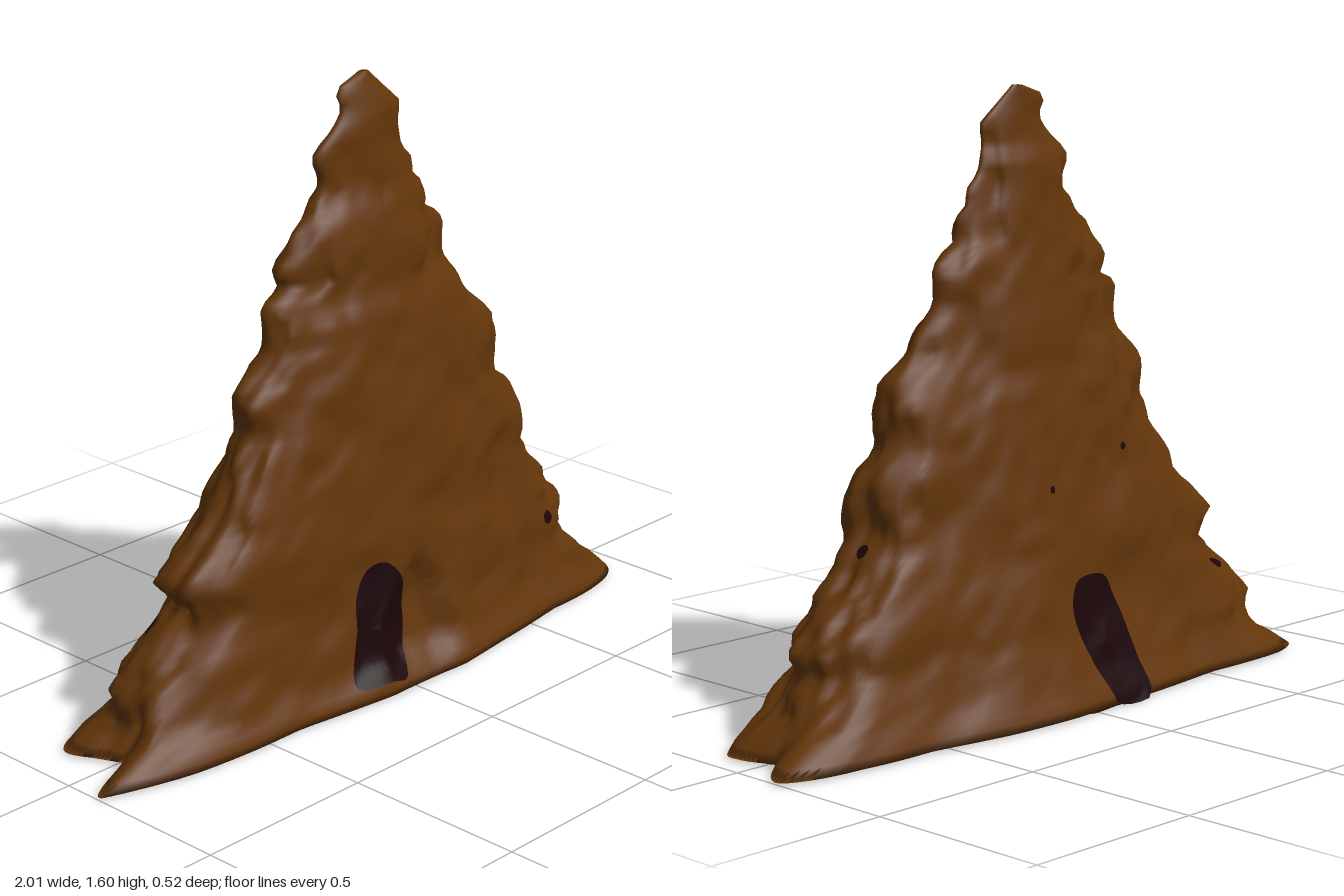
import * as THREE from 'three';

const SEGMENTS = 140, LEVELS = 70, HEIGHT = 1.6, BASE = 0.008;

// Silhouette profiles as [height, offset]
const LEFT = [[0, -1.01], [0.02, -0.98], [0.08, -0.84], [0.2, -0.77], [0.35, -0.62], [0.42, -0.67], [0.6, -0.5], [0.75, -0.42],
  [0.85, -0.42], [0.95, -0.31], [1.06, -0.31], [1.1, -0.24], [1.15, -0.26], [1.3, -0.15], [1.33, -0.11], [1.45, -0.1],
  [1.52, -0.03], [1.57, -0.06], [1.6, 0.04]];
const RIGHT = [[0, 1.01], [0.02, 0.99], [0.1, 0.86], [0.2, 0.77], [0.27, 0.79], [0.4, 0.66], [0.5, 0.59], [0.65, 0.57],
  [0.72, 0.5], [0.82, 0.5], [0.95, 0.4], [1.07, 0.32], [1.15, 0.32], [1.22, 0.24], [1.28, 0.25], [1.38, 0.19],
  [1.5, 0.17], [1.57, 0.1], [1.6, 0.07]];
const FRONT = [[0, 0.25], [0.03, 0.26], [0.1, 0.225], [0.2, 0.205], [0.5, 0.175], [0.7, 0.155], [0.85, 0.13], [1, 0.115],
  [1.06, 0.09], [1.25, 0.08], [1.31, 0.05], [1.5, 0.035], [1.57, 0.015], [1.6, 0]];
const BACK = [[0, -0.265], [0.03, -0.262], [0.1, -0.23], [0.2, -0.2], [0.4, -0.175], [0.6, -0.14], [0.75, -0.125],
  [0.9, -0.1], [1, -0.09], [1.2, -0.07], [1.42, -0.045], [1.45, -0.028], [1.6, -0.022]];

// Ragged lobes of the two base ends: [z fraction, reach]
const RIGHT_LOBES = [[-0.8, 1.05], [-0.5, 1.06], [-0.1, 0.9], [0.35, 0.95], [0.7, 1]];
const LEFT_LOBES = [[-0.8, 1], [-0.6, 0.95], [-0.25, 0.87], [0.1, 0.83], [0.5, 1.065], [0.8, 0.97]];

// Thickness of the broad faces along their length: [x fraction, scale]
const FRONT_SPREAD = [[-0.8, 0.92], [-0.4, 0.84], [-0.1, 0.97], [0.17, 1], [0.35, 0.92], [0.6, 0.84], [0.85, 0.93]];
const BACK_SPREAD = [[-0.8, 0.93], [-0.5, 0.81], [-0.2, 0.91], [0.1, 1.01], [0.3, 1], [0.55, 0.89], [0.77, 0.98], [0.94, 1.15]];

function sample(table, t) {
  if (t <= table[0][0]) return table[0][1];
  for (let i = 1; i < table.length; i++) {
    const [a, va] = table[i - 1], [b, vb] = table[i];
    if (t <= b) return va + (vb - va) * (t - a) / (b - a);
  }
  return table[table.length - 1][1];
}

// Smooth seeded value noise in the range -1..1
function hash(x, y, z) {
  const s = Math.sin(x * 127.1 + y * 311.7 + z * 74.7) * 43758.5453;
  return (s - Math.floor(s)) * 2 - 1;
}
function noise(x, y, z) {
  const f = [x, y, z].map(Math.floor);
  const w = [x - f[0], y - f[1], z - f[2]].map(t => t * t * (3 - 2 * t));
  let sum = 0;
  for (let k = 0; k < 8; k++) {
    const b = [k & 1, (k >> 1) & 1, k >> 2];
    sum += hash(f[0] + b[0], f[1] + b[1], f[2] + b[2])
      * b.reduce((p, on, i) => p * (on ? w[i] : 1 - w[i]), 1);
  }
  return sum;
}

// One point of the mound's skin
function skin(angle, y) {
  const c = Math.cos(angle), s = Math.sin(angle);
  const n = Math.max(1.9, 3 - y * 0.9);
  const r = 1 / Math.pow(Math.abs(c) ** n + Math.abs(s) ** n, 1 / n);
  const l = sample(LEFT, y), rt = sample(RIGHT, y), f = sample(FRONT, y), b = sample(BACK, y);
  const spread = sample(s > 0 ? FRONT_SPREAD : BACK_SPREAD, c * r);
  let x = (l + rt) / 2 + (rt - l) / 2 * c * r;
  let z = (f + b) / 2 + (f - b) / 2 * s * r * (1 + (spread - 1) * Math.max(0, 1 - y / 1.3));
  // ragged base ends
  const fade = Math.max(0, 1 - y / 0.16) * Math.min(1, Math.abs(c * r) ** 3);
  x *= 1 + (sample(c > 0 ? RIGHT_LOBES : LEFT_LOBES, s * r) - 1) * fade;
  // lumpy earth, calmer on the broad faces
  const taper = Math.min(1, y / 0.1) * Math.min(1, (HEIGHT - y) / 0.2);
  const lump = noise(x * 7, y * 7, z * 14 + 5) + 0.7 * noise(x * 18, y * 17, z * 30 + 9);
  const edge = Math.abs(c * r);
  x += Math.sign(c) * lump * 0.03 * edge * taper;
  z += Math.sign(s) * lump * (0.006 + 0.012 * edge) * Math.abs(s) * taper;
  // arched hollow beside the front opening, steeper on its far side
  if (s > 0) {
    const d = Math.hypot((x - 0.04) / (x > 0.04 ? 0.12 : 0.15), (y - 0.09) / 0.27);
    z -= 0.045 * THREE.MathUtils.smoothstep(1 - d, 0, x > 0.04 ? 0.35 : 0.6) * Math.min(1, y / 0.09);
  }
  return [x, y, z];
}

function skinGeometry(pos, index) {
  const g = new THREE.BufferGeometry();
  g.setAttribute('position', new THREE.Float32BufferAttribute(pos, 3));
  g.setIndex(index);
  g.computeVertexNormals();
  return g;
}

// Quads between consecutive closed rings of points
function ringFaces(rings, around) {
  const index = [];
  for (let i = 0; i < rings; i++) {
    for (let j = 0; j < around; j++) {
      const a = i * around + j, b = i * around + (j + 1) % around;
      index.push(a, a + around, b, b, a + around, b + around);
    }
  }
  return index;
}

function moundGeometry() {
  const pos = [], index = ringFaces(LEVELS, SEGMENTS), top = LEVELS * SEGMENTS;
  for (let i = 0; i <= LEVELS; i++) {
    const y = BASE + i / LEVELS * (HEIGHT - BASE);
    for (let j = 0; j < SEGMENTS; j++) pos.push(...skin(j / SEGMENTS * Math.PI * 2, y));
  }
  // close the underside and the peak
  const bottom = pos.length / 3;
  pos.push(0, BASE, 0, 0.055, HEIGHT, -0.01);
  for (let j = 0; j < SEGMENTS; j++) {
    const k = (j + 1) % SEGMENTS;
    index.push(bottom, j, k, bottom + 1, top + k, top + j);
  }
  return skinGeometry(pos, index);
}

// Thin skin laid on the mound: an outline projected along a direction
function patch(name, mound, material, outline, place, direction) {
  const curve = new THREE.CatmullRomCurve3(outline.map(([u, v]) => new THREE.Vector3(u, v, 0)), true);
  const around = 48, rings = 12, pos = [];
  const rim = curve.getPoints(around).slice(0, around);
  const mid = rim.reduce((m, p) => m.add(p), new THREE.Vector3()).divideScalar(around);
  const ray = new THREE.Raycaster();
  let last = 2;
  for (let i = 0; i <= rings; i++) {
    for (const p of rim) {
      const q = mid.clone().lerp(p, i / rings);
      const origin = place(q.x, q.y).addScaledVector(direction, -2);
      ray.set(origin, direction);
      const hit = ray.intersectObject(mound)[0];
      if (hit) last = hit.distance;
      pos.push(...origin.addScaledVector(direction, last - 0.007).toArray());
    }
  }
  const mesh = new THREE.Mesh(skinGeometry(pos, ringFaces(rings, around)), material);
  mesh.name = name;
  return mesh;
}

export function createModel() {
  const earth = new THREE.MeshStandardMaterial({ name: 'brown earth', color: 0x63360a });
  const dark = new THREE.MeshStandardMaterial({ name: 'dark opening', color: 0x1b0509, side: THREE.DoubleSide });
  const group = new THREE.Group();
  group.name = 'earthMound';

  const mound = new THREE.Mesh(moundGeometry(), earth);
  mound.name = 'mound';
  mound.updateMatrixWorld();
  group.add(mound);

  // Openings at the front and back, the back one spilling under the base
  const upright = (u, v) => new THREE.Vector3(u, v, 0);
  const sideways = (u, v) => new THREE.Vector3(0, v, u);
  const flat = (u, v) => new THREE.Vector3(u, 0, v);
  const toBack = new THREE.Vector3(0, 0, -1), toFront = new THREE.Vector3(0, 0, 1);
  const toLeft = new THREE.Vector3(1, 0, 0), toRight = new THREE.Vector3(-1, 0, 0);
  group.add(
    patch('frontOpening', mound, dark,
      [[-0.21, 0.06], [-0.2, 0.12], [-0.18, 0.2], [-0.175, 0.28], [-0.125, 0.355], [-0.07, 0.36], [-0.02, 0.31],
        [0.012, 0.22], [0, 0.1], [-0.04, 0.04], [-0.1, 0.05]], upright, toBack),
    patch('backOpening', mound, dark,
      [[-0.205, 0.015], [-0.185, 0.12], [-0.15, 0.25], [-0.11, 0.33], [-0.04, 0.345], [0.01, 0.33], [0.035, 0.26],
        [0, 0.15], [-0.05, 0.05], [-0.07, 0.013]], upright, toFront),
    patch('backOpeningUnderside', mound, dark,
      [[0.025, -0.245], [-0.03, -0.16], [-0.092, -0.08], [-0.16, -0.1], [-0.225, -0.15], [-0.2, -0.225], [-0.08, -0.24]],
      flat, new THREE.Vector3(0, 1, 0)));

  // Small dark pits
  const pits = [[0.62, 0.265, 0.018, upright, toBack], [-0.01, 0.48, 0.016, sideways, toRight],
    [0.07, 0.58, 0.01, upright, toFront], [-0.23, 0.65, 0.01, upright, toFront], [-0.1, 0.27, 0.016, sideways, toLeft]];
  for (const [u, v, r, place, direction] of pits) {
    const outline = [0, 1, 2, 3, 4].map(i => [u + r * Math.cos(i * 1.257), v + r * Math.sin(i * 1.257)]);
    group.add(patch('pit', mound, dark, outline, place, direction));
  }
  return group;
}
